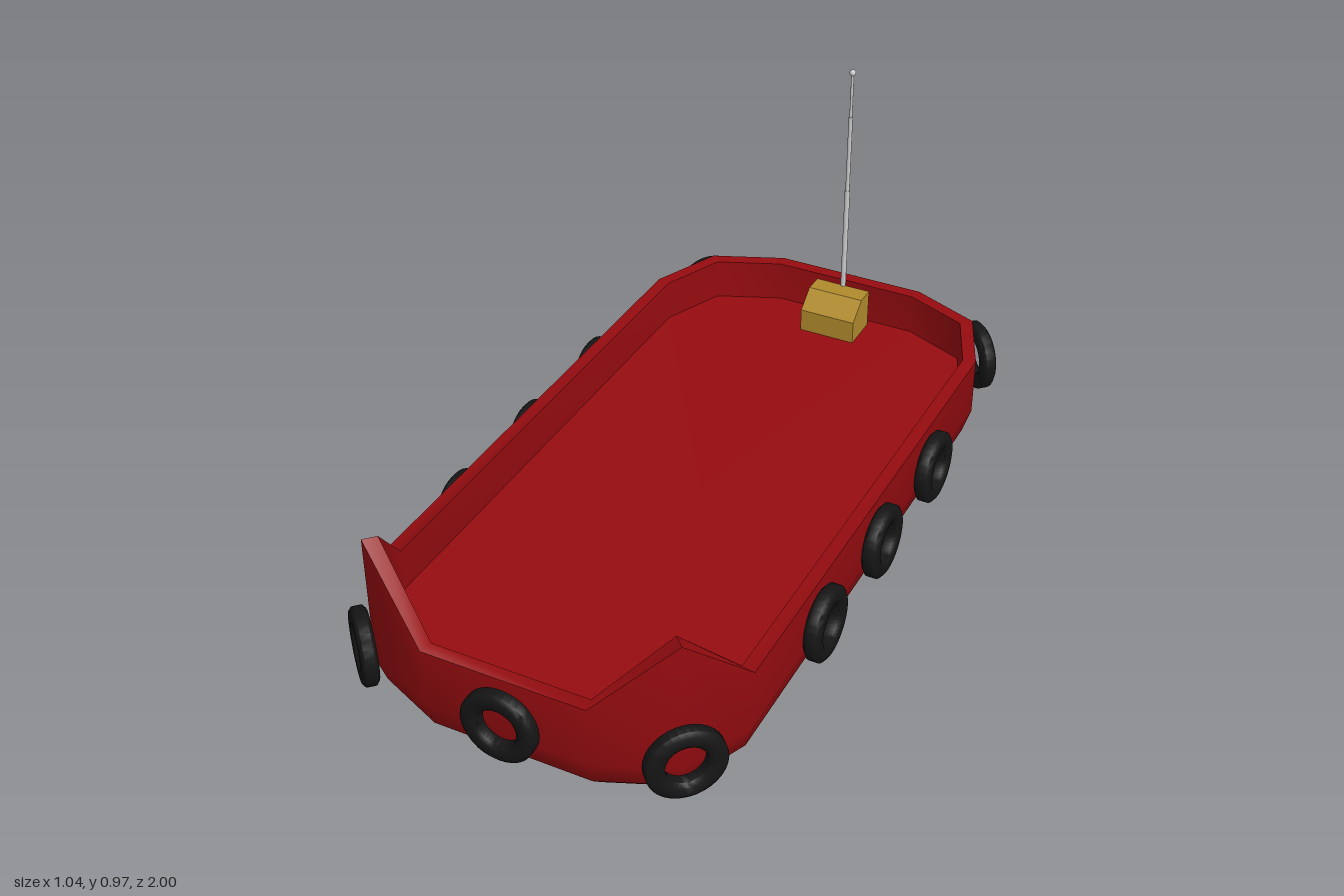
import * as THREE from 'three';
import { toCreasedNormals } from 'three/addons/utils/BufferGeometryUtils.js';

const paint = (color) => new THREE.MeshStandardMaterial({ color });

// Deck outline: one quarter mirrored into a chamfered rectangle, going from +x towards +z
const quarter = [[0.48, 0.69], [0.40, 0.88], [0.21, 0.96]];
const flipped = [...quarter].reverse();
const outline = [
  ...quarter,
  ...flipped.map(([x, z]) => [-x, z]),
  ...quarter.map(([x, z]) => [-x, -z]),
  ...flipped.map(([x, z]) => [x, -z]),
];

// Moves every side of the outline inwards by d
function inset(d) {
  const n = outline.length;
  const normal = (i) => {
    const [ax, az] = outline[i % n], [bx, bz] = outline[(i + 1) % n];
    const len = Math.hypot(bx - ax, bz - az);
    return [(bz - az) / len, -(bx - ax) / len];
  };
  return outline.map(([x, z], i) => {
    const [px, pz] = normal(i + n - 1), [qx, qz] = normal(i);
    const k = d / (1 + px * qx + pz * qz);
    return [x - (px + qx) * k, z - (pz + qz) * k];
  });
}

// Hull shell lofted from the bottom, up the outside, over the rim and down to the floor
function hullGeometry() {
  const n = outline.length, floor = 0.195;
  // The two front corners rise into peaks
  const rim = (i) => (i === 1 || i === 4 ? 0.5 : 0.31);
  const rings = [[0.15, 0], [0.08, 0.02], [0.022, 0.08], [0, 0.15], [0, rim], [0.035, rim], [0.035, floor]];
  const pos = [], index = [];
  for (const [d, y] of rings) {
    inset(d).forEach(([x, z], i) => pos.push(x, typeof y === 'function' ? y(i) : y, z));
  }
  const base = pos.length / 3, last = (rings.length - 1) * n;
  pos.push(0, 0, 0, 0, floor, 0);
  for (let i = 0; i < n; i++) {
    const j = (i + 1) % n;
    for (let r = 0; r < last; r += n) {
      index.push(r + i, r + n + i, r + n + j, r + i, r + n + j, r + j);
    }
    index.push(base, i, j, base + 1, last + j, last + i);
  }
  const geo = new THREE.BufferGeometry();
  geo.setAttribute('position', new THREE.Float32BufferAttribute(pos, 3));
  geo.setIndex(index);
  return toCreasedNormals(geo, 0.9);
}

// Tyre ring with softened edges, its axis along z
function tyreGeometry() {
  const profile = [
    [0.05, -0.012], [0.06, -0.02], [0.085, -0.02], [0.095, -0.012],
    [0.095, 0.012], [0.085, 0.02], [0.06, 0.02], [0.05, 0.012], [0.05, -0.012],
  ].map(([r, y]) => new THREE.Vector2(r, y));
  return toCreasedNormals(new THREE.LatheGeometry(profile, 32).rotateX(Math.PI / 2), 0.9);
}

export function createModel() {
  const model = new THREE.Group();
  const add = (name, geo, mat, x = 0, y = 0, z = 0, parent = model) => {
    const mesh = new THREE.Mesh(geo, mat);
    mesh.name = name;
    mesh.position.set(x, y, z);
    parent.add(mesh);
    return mesh;
  };

  add('hull', hullGeometry(), paint(0x960c10));

  // Tyre fenders around the hull
  const fenders = new THREE.Group();
  fenders.name = 'tyreFenders';
  model.add(fenders);
  const tyreGeo = tyreGeometry(), rubber = paint(0x151515);
  const tyre = (name, x, z, turn) => {
    add(name, tyreGeo, rubber, x, 0.195, z, fenders).rotation.y = turn;
  };
  for (const s of [1, -1]) {
    tyre('endTyre', 0, s * 0.98, 0);
    for (const z of [-0.345, 0, 0.345]) tyre('sideTyre', s * 0.5, z, Math.PI / 2);
    for (const t of [1, -1]) tyre('cornerTyre', s * 0.415, t * 0.896, s * t * Math.PI / 4);
  }

  // Control box with a sloped front, extruded across the deck
  const side = new THREE.Shape([
    [0.795, 0.19], [0.795, 0.26], [0.85, 0.305], [0.905, 0.305], [0.905, 0.19],
  ].map(([z, y]) => new THREE.Vector2(z, y)));
  const box = new THREE.ExtrudeGeometry(side, { depth: 0.16, bevelEnabled: false });
  box.translate(0, 0, -0.08).rotateY(Math.PI / 2);
  add('controlBox', box, paint(0xb08a2c));

  // Telescopic aerial in three steps with a ball tip
  const aerial = new THREE.Group();
  aerial.name = 'aerial';
  aerial.position.z = -0.905;
  model.add(aerial);
  const metal = paint(0xcccccc);
  for (const [r, y0, y1] of [[0.0075, 0.195, 0.61], [0.0058, 0.61, 0.835], [0.004, 0.835, 0.96]]) {
    add('aerialSection', new THREE.CylinderGeometry(r, r, y1 - y0, 12), metal, 0, (y0 + y1) / 2, 0, aerial);
  }
  add('aerialTip', new THREE.SphereGeometry(0.009, 16, 12), metal, 0, 0.965, 0, aerial);

  return model;
}
